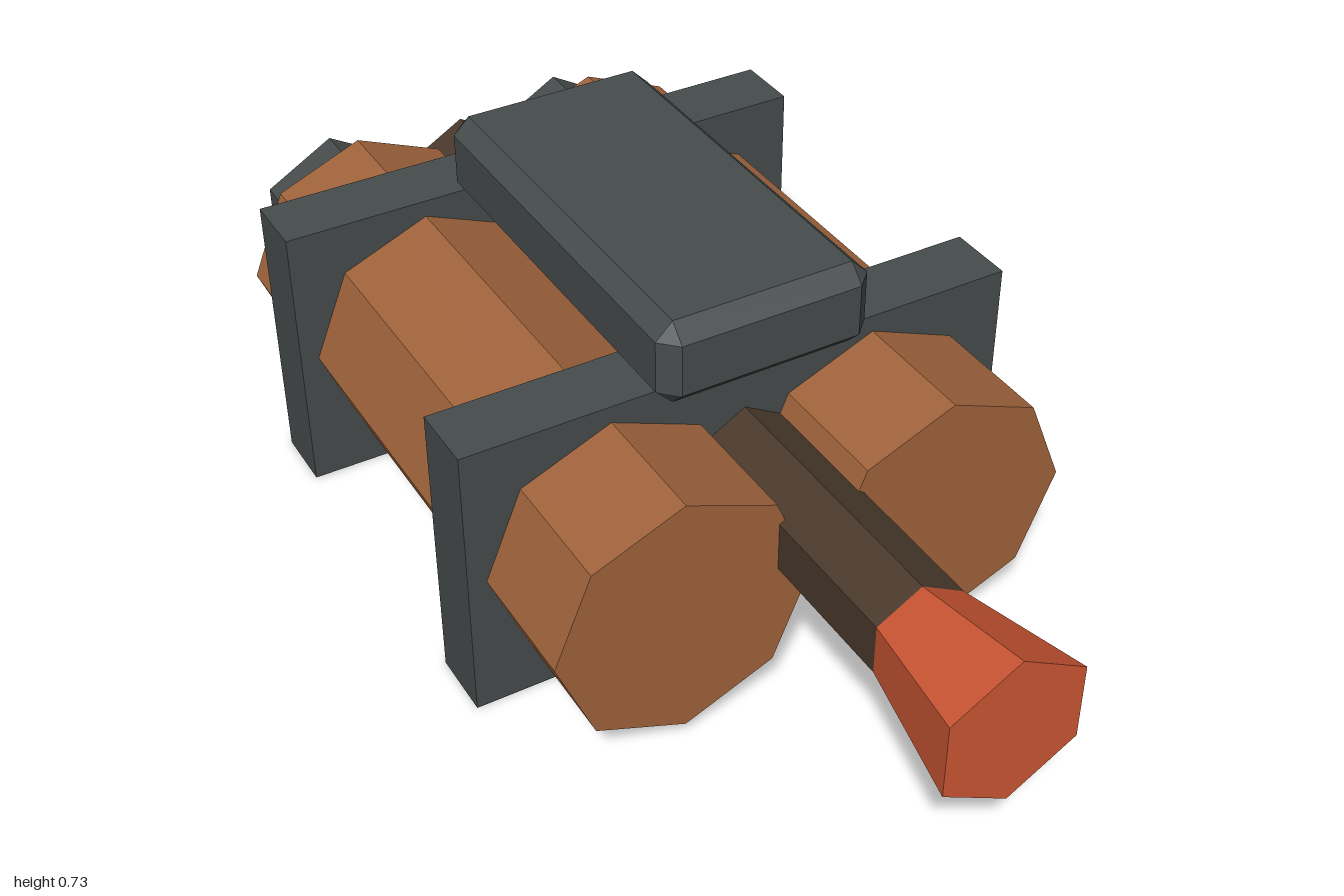
import * as THREE from 'three';
import { ConvexGeometry } from 'three/addons/geometries/ConvexGeometry.js';

const material = (name, color) => {
  const m = new THREE.MeshStandardMaterial({ color, flatShading: true });
  m.name = name;
  return m;
};

export function createModel() {
  const group = new THREE.Group();
  const brown = material('copper brown', 0xa0643c);
  const darkBrown = material('dark brown', 0x4a3a2c);
  const orange = material('orange red', 0xce5734);
  const slate = material('slate grey', 0x474c4c);

  const add = (name, geometry, mat, x, y, z) => {
    const mesh = new THREE.Mesh(geometry, mat);
    mesh.name = name;
    mesh.position.set(x, y, z);
    group.add(mesh);
  };

  // Prism along z, with a corner at the top
  const prism = (name, mat, sides, rFront, rBack, zBack, zFront, x, y) => {
    const g = new THREE.CylinderGeometry(rFront, rBack, zFront - zBack, sides).rotateX(Math.PI / 2);
    add(name, g, mat, x, y, (zFront + zBack) / 2);
  };

  // Box with its edges and corners cut off
  const chamferedBox = (w, h, d, c) => {
    const points = [];
    for (const sx of [-1, 1]) for (const sy of [-1, 1]) for (const sz of [-1, 1]) {
      for (let axis = 0; axis < 3; axis++) {
        const half = [w / 2, h / 2, d / 2].map((v, i) => (i === axis ? v : v - c));
        points.push(new THREE.Vector3(sx * half[0], sy * half[1], sz * half[2]));
      }
    }
    return new ConvexGeometry(points);
  };

  // Twin tanks with rear caps
  for (const [side, s] of [['left', 1], ['right', -1]]) {
    prism(side + 'Tank', brown, 8, 0.243, 0.243, -0.835, 0.468, s * 0.26, 0.28);
    prism(side + 'RearCap', slate, 6, 0.162, 0.162, -1, -0.8, s * 0.26, 0.282);
  }

  // Central barrel and flared nozzle
  prism('barrel', darkBrown, 6, 0.096, 0.096, -0.917, 0.75, 0, 0.36);
  prism('nozzle', orange, 6, 0.146, 0.096, 0.75, 1, 0, 0.36);

  // Bracket plates around the tanks
  add('frontBracket', new THREE.BoxGeometry(1.076, 0.556, 0.13), slate, 0, 0.278, 0.157);
  add('rearBracket', new THREE.BoxGeometry(1.076, 0.556, 0.13), slate, 0, 0.278, -0.575);

  // Floating top block
  add('topBlock', chamferedBox(0.408, 0.163, 0.816, 0.032), slate, 0, 0.647, -0.104);

  return group;
}
